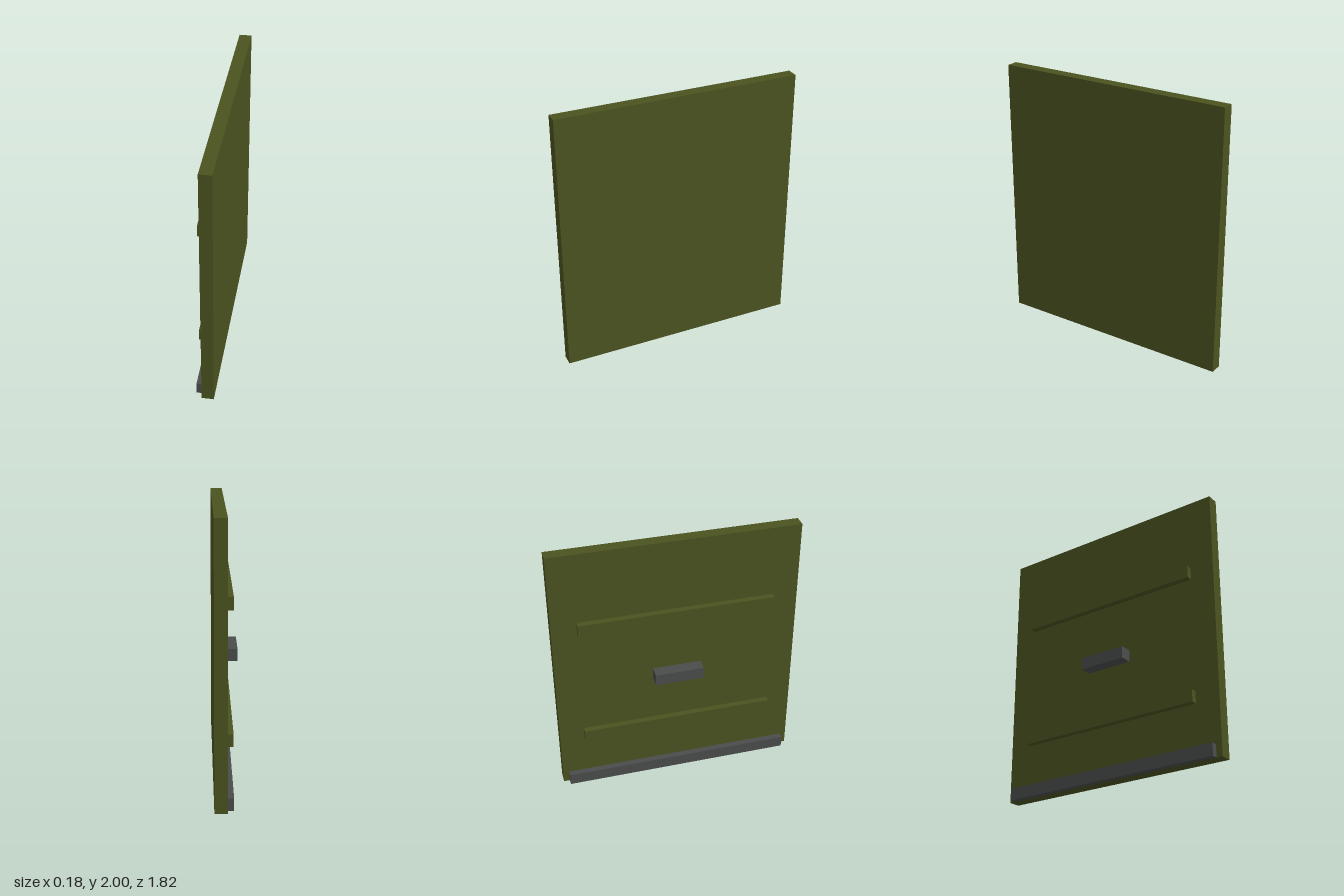
import * as THREE from 'three';

export function createModel() {
  const olive = new THREE.MeshStandardMaterial({ color: 0x4b5320 });
  olive.name = 'olive paint';
  const steel = new THREE.MeshStandardMaterial({ color: 0x4a4d4c });
  steel.name = 'dark grey metal';

  const model = new THREE.Group();
  model.name = 'hatchPanel';
  const panelBack = 0; // x of the face that carries the fittings

  // Box from its x range, height range and length along z
  const addBox = (name, material, x0, x1, y0, y1, length) => {
    const mesh = new THREE.Mesh(new THREE.BoxGeometry(x1 - x0, y1 - y0, length), material);
    mesh.position.set((x0 + x1) / 2, (y0 + y1) / 2, 0);
    mesh.name = name;
    model.add(mesh);
  };

  // Main plate
  addBox('panel', olive, panelBack, 0.09, 0, 2, 1.818);

  // Stiffening ribs
  [['lowerRib', 0.455], ['upperRib', 1.41]].forEach(([name, y]) =>
    addBox(name, olive, -0.045, panelBack, y - 0.045, y + 0.045, 1.45));

  // Handle block and hinge bar along the bottom edge
  addBox('handle', steel, -0.091, panelBack, 0.865, 0.955, 0.364);
  addBox('hingeBar', steel, -0.045, panelBack, 0, 0.091, 1.727);

  return model;
}
